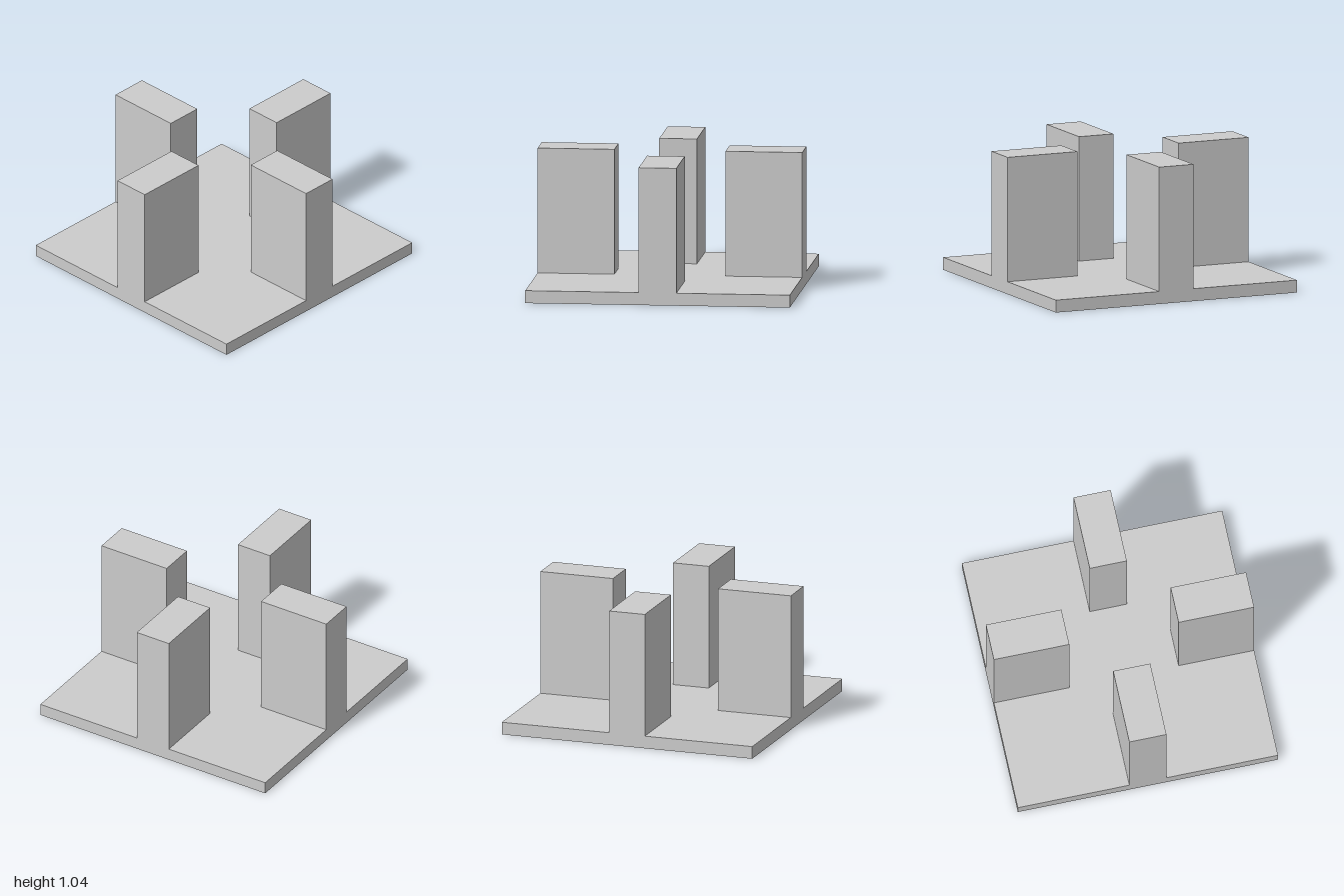
import * as THREE from 'three';

const BASE_HEIGHT = 0.095;
const TOTAL_HEIGHT = 1.045;
const PILLAR_INNER = 0.42; // distance from the centre to a pillar's inner face
const PILLAR_WIDTH = 0.285;

export function createModel() {
  const group = new THREE.Group();
  group.name = 'pillarStand';
  const material = new THREE.MeshStandardMaterial({ color: 0xcccccc, flatShading: true });

  // Square base plate
  const base = new THREE.Mesh(new THREE.BoxGeometry(2, BASE_HEIGHT, 2), material);
  base.name = 'basePlate';
  base.position.y = BASE_HEIGHT / 2;
  group.add(base);

  // Four upright pillars, flush with the middle of each edge
  const height = TOTAL_HEIGHT - BASE_HEIGHT;
  const depth = 1 - PILLAR_INNER;
  const pillarGeometry = new THREE.BoxGeometry(PILLAR_WIDTH, height, depth);
  pillarGeometry.translate(0, BASE_HEIGHT + height / 2, 1 - depth / 2);
  ['frontPillar', 'leftPillar', 'backPillar', 'rightPillar'].forEach((name, i) => {
    const pillar = new THREE.Mesh(pillarGeometry, material);
    pillar.name = name;
    pillar.rotation.y = (i * Math.PI) / 2;
    group.add(pillar);
  });

  return group;
}
